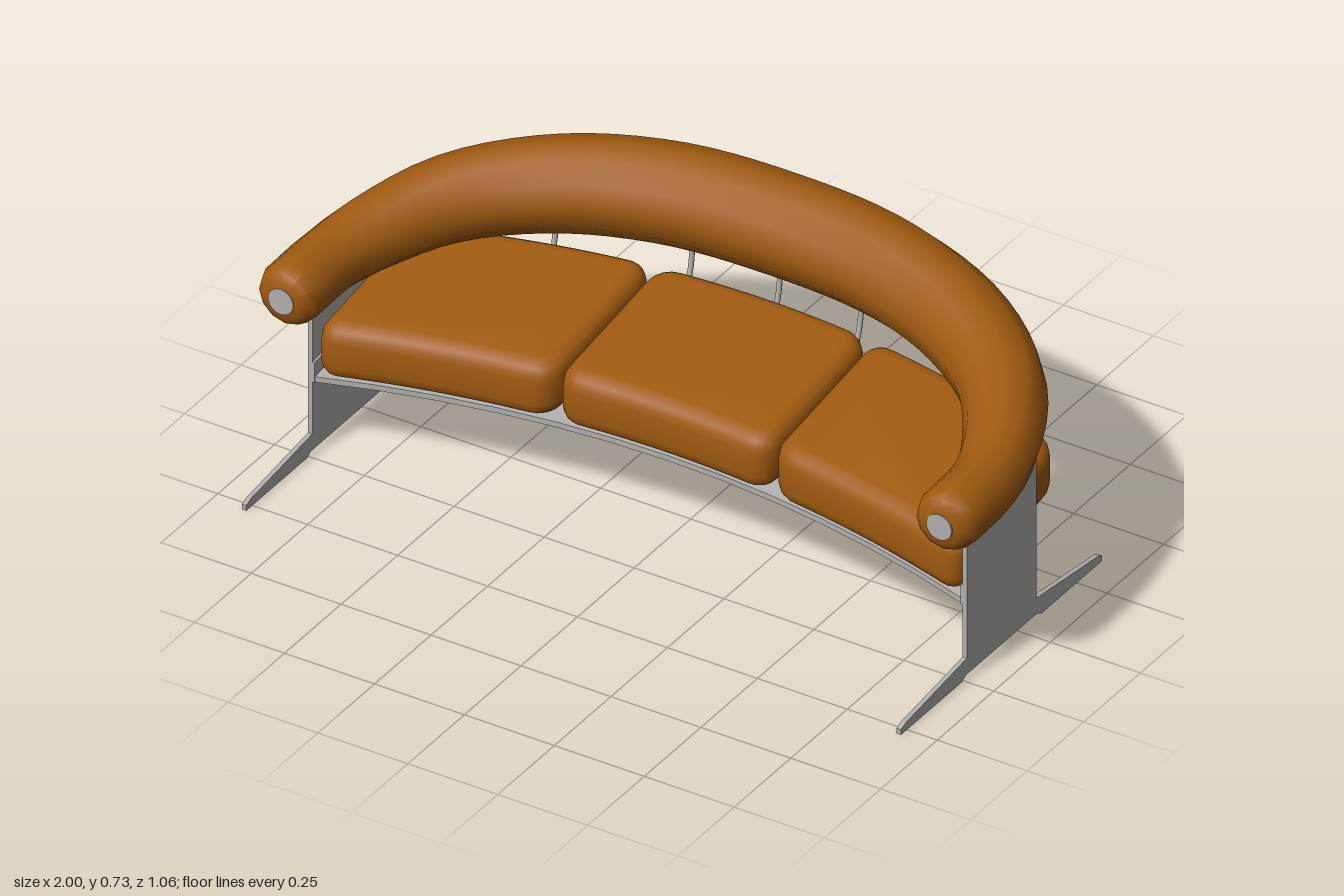
import * as THREE from 'three';
import { toCreasedNormals } from 'three/addons/utils/BufferGeometryUtils.js';

const leather = new THREE.MeshStandardMaterial({ color: 0xa05a10 });
leather.name = 'tan leather';
const metal = new THREE.MeshStandardMaterial({ color: 0xb0afad });
metal.name = 'grey metal';

const SLOPE = -0.145; // the seat rises towards the back
const V = (x, y, z) => new THREE.Vector3(x, y, z);
const frontZ = (x) => 0.115 + 0.16 * x * x;
const backZ = (x) => -0.385 + 0.264 * x * x;
const spaced = (a, b, n) => Array.from({ length: n + 1 }, (_, i) => a + ((b - a) * i) / n);

function add(group, name, geometry, material) {
  const mesh = new THREE.Mesh(geometry, material);
  mesh.name = name;
  group.add(mesh);
  return mesh;
}

// Extrudes an [x, z] outline upwards and tilts it with the seat
function seatSlab(outline, base, height, bevel = 0) {
  const shape = new THREE.Shape(outline.map(([x, z]) => new THREE.Vector2(x, -z)));
  const g = new THREE.ExtrudeGeometry(shape, {
    depth: height - 2 * bevel, bevelEnabled: bevel > 0, bevelSize: bevel,
    bevelThickness: bevel, bevelOffset: -bevel, bevelSegments: 4,
  });
  g.rotateX(-Math.PI / 2);
  g.translate(0, base + bevel, 0);
  const p = g.attributes.position;
  for (let i = 0; i < p.count; i++) p.setY(i, p.getY(i) + SLOPE * p.getZ(i));
  return toCreasedNormals(g, 0.7);
}

// Cushion outline: rounded rectangle bent to follow the curved seat
function cushionOutline(x0, x1) {
  const w = (x1 - x0) / 2, d = 0.23, r = 0.06, cx = (x0 + x1) / 2;
  const s = new THREE.Shape();
  s.absarc(w - r, d - r, r, 0, Math.PI / 2);
  s.absarc(-w + r, d - r, r, Math.PI / 2, Math.PI);
  s.absarc(-w + r, -d + r, r, Math.PI, Math.PI * 1.5);
  s.absarc(w - r, -d + r, r, Math.PI * 1.5, Math.PI * 2);
  s.closePath();
  return s.getSpacedPoints(80).slice(0, -1).map((p) => {
    const x = cx + p.x, f = frontZ(x) + 0.005, b = -0.345 + 0.18 * x * x;
    return [x, (f + b) / 2 + (p.y / d) * (f - b) / 2];
  });
}

// Curved bolster that thickens towards the middle of the back
function bolsterGeometry() {
  const half = [
    [0.915, 0.49, 0.31], [0.91, 0.497, 0.15], [0.865, 0.517, 0], [0.76, 0.55, -0.165],
    [0.56, 0.58, -0.305], [0.3, 0.6, -0.385],
  ];
  const points = [
    ...half.map((p) => V(...p)), V(0, 0.605, -0.405),
    ...half.slice().reverse().map(([x, y, z]) => V(-x, y, z)),
  ];
  const curve = new THREE.CatmullRomCurve3(points, false, 'centripetal');
  const ends = [[0.044, 0], [0.044, 0.62], [0.03, 0.87]]; // offset and scale of the end rings
  const rings = [
    ...ends.map(([o, s]) => [0, o, s]),
    ...spaced(0, 1, 48).map((u) => [u, 0, 1]),
    ...ends.slice().reverse().map(([o, s]) => [1, o, s]),
  ];
  const sides = 12, pos = [], index = [];
  rings.forEach(([u, offset, scale], i) => {
    const c = curve.getPointAt(u), t = curve.getTangentAt(u);
    const side = V(0, 1, 0).cross(t).normalize();
    const up = t.clone().cross(side);
    const r = scale * (0.083 + 0.042 * THREE.MathUtils.clamp((0.15 - c.z) / 0.555, 0, 1));
    c.z += offset;
    for (let j = 0; j < sides; j++) {
      const a = (j / sides) * Math.PI * 2;
      const p = c.clone().addScaledVector(side, r * Math.cos(a)).addScaledVector(up, r * Math.sin(a));
      pos.push(p.x, p.y, p.z);
      if (i === rings.length - 1) continue;
      const k = (j + 1) % sides, m = i * sides, n = m + sides;
      index.push(m + j, m + k, n + k, m + j, n + k, n + j);
    }
  });
  const g = new THREE.BufferGeometry();
  g.setAttribute('position', new THREE.Float32BufferAttribute(pos, 3));
  g.setIndex(index);
  g.computeVertexNormals();
  return toCreasedNormals(g, 0.75);
}

// Flat side plate with a long splayed foot
function legGeometry() {
  const profile = [
    [0.527, 0], [0.527, 0.015], [0.505, 0.023], [0.235, 0.055], [0.235, 0.45], [0.05, 0.45],
    [-0.073, 0.46], [-0.073, 0.055], [-0.345, 0.023], [-0.362, 0.015], [-0.362, 0],
    [-0.095, 0], [-0.075, 0.01], [0.24, 0.01], [0.258, 0],
  ];
  const shape = new THREE.Shape(profile.map(([z, y]) => new THREE.Vector2(-z, y)));
  const g = new THREE.ExtrudeGeometry(shape, { depth: 0.012, bevelEnabled: false });
  g.translate(0, 0, -0.006);
  return g.rotateY(Math.PI / 2);
}

export function createModel() {
  const model = new THREE.Group();
  model.name = 'sofa';

  add(model, 'backBolster', bolsterGeometry(), leather);

  // Three seat cushions
  add(model, 'middleCushion', seatSlab(cushionOutline(-0.298, 0.298), 0.25, 0.148, 0.042), leather);
  add(model, 'leftCushion', seatSlab(cushionOutline(0.302, 0.898), 0.25, 0.148, 0.042), leather);
  add(model, 'rightCushion', seatSlab(cushionOutline(-0.898, -0.302), 0.25, 0.148, 0.042), leather);

  // Seat pan with clipped back corners
  const pan = [
    ...spaced(-0.905, 0.905, 12).map((x) => [x, frontZ(x) - 0.012]),
    [0.905, -0.07],
    ...spaced(0.79, -0.79, 10).map((x) => [x, backZ(x)]),
    [-0.905, -0.07],
  ];
  add(model, 'seatPan', seatSlab(pan, 0.235, 0.015), metal);

  // Upright lip along the back edge of the pan
  const lip = [
    ...spaced(-0.79, 0.79, 10).map((x) => [x, backZ(x) + 0.012]),
    ...spaced(0.79, -0.79, 10).map((x) => [x, backZ(x)]),
  ];
  add(model, 'backLip', seatSlab(lip, 0.235, 0.064), metal);

  for (const s of [1, -1]) {
    const sideName = s > 0 ? 'left' : 'right';
    add(model, sideName + 'Leg', legGeometry(), metal).position.x = s * 0.91;

    // Turned-up flange joining the pan to the leg
    const flange = [[0.898, 0.235], [0.906, 0.235], [0.906, -0.07], [0.898, -0.07]];
    add(model, sideName + 'Flange', seatSlab(flange.map(([x, z]) => [s * x, z]), 0.235, 0.055), metal);

    // Metal disc set in the end of the bolster
    const disc = new THREE.CylinderGeometry(0.035, 0.035, 0.008, 24).rotateX(Math.PI / 2);
    add(model, sideName + 'EndDisc', disc, metal).position.set(s * 0.915, 0.489, 0.354);
  }

  // Bent rods carrying the bolster
  for (const x of [-0.57, -0.235, 0, 0.235, 0.57]) {
    const z = backZ(x) + 0.022, y = 0.235 + SLOPE * z;
    const path = new THREE.CatmullRomCurve3([
      V(x, y + 0.015, z + 0.006), V(x, y + 0.06, z + 0.002), V(x, y + 0.115, z - 0.02),
      V(x, y + 0.16, z - 0.03), V(x, y + 0.26, z - 0.032),
    ]);
    add(model, 'backRod', new THREE.TubeGeometry(path, 14, 0.007, 8), metal);
  }

  return model;
}
